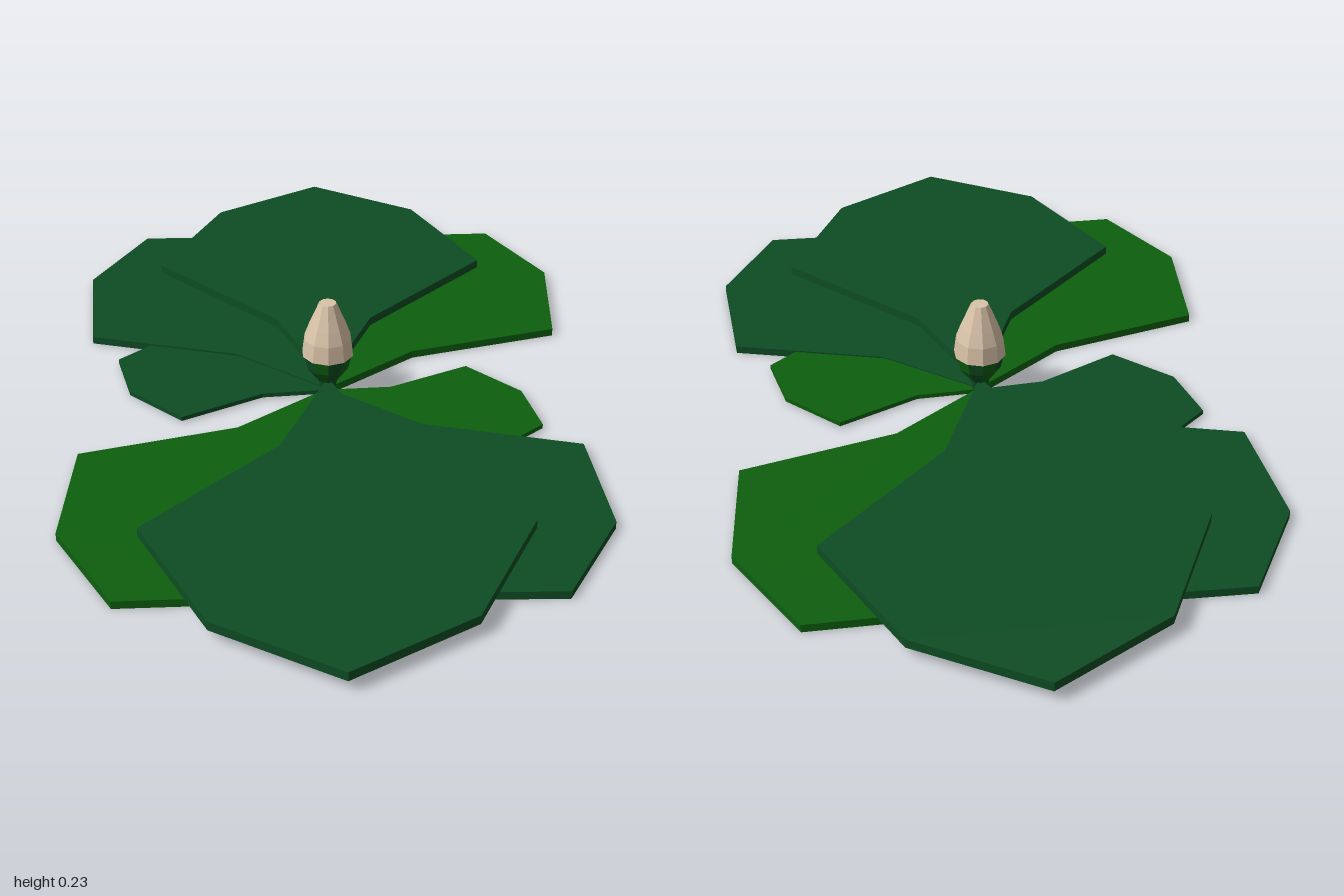
import * as THREE from 'three';

const mat = (name, color) => {
  const m = new THREE.MeshStandardMaterial({ color });
  m.name = name;
  m.flatShading = true;
  return m;
};

export function createModel() {
  const group = new THREE.Group();
  const blueGreen = mat('blueGreen', 0x0e4d24);
  const leafGreen = mat('leafGreen', 0x0d5f0e);
  const cream = mat('cream', 0xd9c2a8);

  const add = (name, geometry, material) => {
    const mesh = new THREE.Mesh(geometry, material);
    mesh.name = name;
    group.add(mesh);
  };

  // One faceted leaf plate, pointing at the given angle from +z towards +x
  const leaf = (name, degrees, length, y, thickness, material) => {
    const side = [[0.11, 0.27], [0.393, 0.555], [0.25, 0.85]];
    const outline = [[0, 0], ...side, [0, 1], ...side.map(([x, d]) => [-x, d]).reverse()];
    const shape = new THREE.Shape(outline.map(([x, d]) => new THREE.Vector2(x * length, d * length)));
    const geo = new THREE.ExtrudeGeometry(shape, { depth: thickness, bevelEnabled: false });
    geo.rotateX(-Math.PI / 2);
    geo.rotateY(Math.PI + THREE.MathUtils.degToRad(degrees));
    geo.translate(0, y, 0);
    add(name, geo, material);
  };

  // Upper pair
  leaf('upperFrontLeaf', 0, 1, 0.025, 0.02, blueGreen);
  leaf('upperBackLeaf', 180, 1, 0.025, 0.02, blueGreen);

  // Lower four
  leaf('lowerFrontLeftLeaf', 30, 0.866, 0, 0.0175, blueGreen);
  leaf('lowerFrontRightLeaf', -30, 0.866, 0, 0.0175, leafGreen);
  leaf('lowerBackLeftLeaf', 150, 0.872, 0.001, 0.0175, leafGreen);
  leaf('lowerBackRightLeaf', 210, 0.875, 0.001, 0.0175, blueGreen);

  // Small side pair
  leaf('smallLeftLeaf', 70.8, 0.487, 0.004, 0.01, leafGreen);
  leaf('smallRightLeaf', 252.5, 0.497, 0.004, 0.01, blueGreen);

  // Bud: stem, two-tone cup and cream head
  const stem = new THREE.CylinderGeometry(0.022, 0.015, 0.035, 10);
  stem.translate(0, 0.0275, 0);
  add('stem', stem, blueGreen);

  const points = (list) => list.map(([r, y]) => new THREE.Vector2(r, y));
  const cupProfile = points([[0, 0.04], [0.022, 0.043], [0.047, 0.078], [0.055, 0.112]]);
  const sides = 10;
  const step = (Math.PI * 2) / sides;
  for (let i = 0; i < sides; i++) {
    add('cupFacet', new THREE.LatheGeometry(cupProfile, 1, i * step, step), i % 2 ? leafGreen : blueGreen);
  }

  const headProfile = points([[0, 0.11], [0.058, 0.11], [0.053, 0.15], [0.042, 0.18], [0.019, 0.235], [0, 0.235]]);
  add('budHead', new THREE.LatheGeometry(headProfile, sides), cream);

  return group;
}
